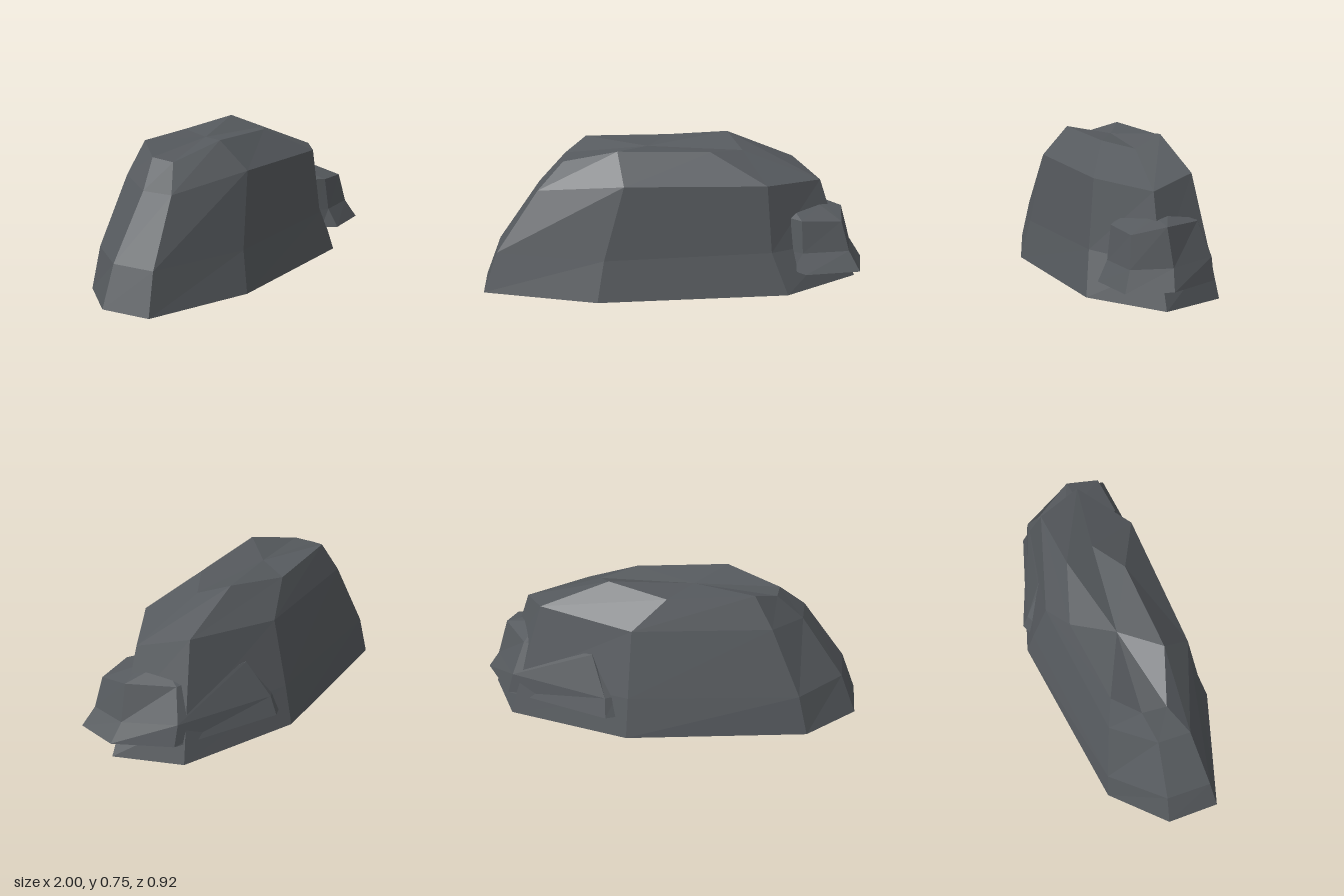
import * as THREE from 'three';

// Joins closed rings of [x, y, z] corners, bottom to top, into a faceted stone.
function stone(name, rings, material) {
  const pos = [];
  const tri = (a, b, c) => pos.push(...a, ...b, ...c);
  const centre = (ring) => [0, 1, 2].map((k) => ring.reduce((s, p) => s + p[k], 0) / ring.length);
  const n = rings[0].length;
  const bottom = rings[0];
  const top = rings[rings.length - 1];
  const low = centre(bottom);
  const high = centre(top);
  for (let i = 0; i < n; i++) {
    const j = (i + 1) % n;
    for (let r = 0; r < rings.length - 1; r++) {
      tri(rings[r][i], rings[r][j], rings[r + 1][j]);
      tri(rings[r][i], rings[r + 1][j], rings[r + 1][i]);
    }
    tri(bottom[j], bottom[i], low);
    tri(top[i], top[j], high);
  }
  const geometry = new THREE.BufferGeometry();
  geometry.setAttribute('position', new THREE.Float32BufferAttribute(pos, 3));
  geometry.computeVertexNormals();
  const mesh = new THREE.Mesh(geometry, material);
  mesh.name = name;
  return mesh;
}

export function createModel() {
  const group = new THREE.Group();
  group.name = 'rockFormation';
  const rock = new THREE.MeshStandardMaterial({ color: 0x565a5e, flatShading: true });
  rock.name = 'dark grey stone';

  // Large boulder: ground, flank, shoulder and crown
  group.add(stone('mainBoulder', [
    [[-0.96, 0, 0.37], [-0.35, 0, 0.46], [0.62, 0, 0.27], [0.97, 0, -0.05],
      [0.77, 0, -0.36], [0.11, 0, -0.46], [-0.79, 0, -0.19], [-1, 0, 0.1]],
    [[-0.89, 0.21, 0.335], [-0.32, 0.21, 0.41], [0.53, 0.22, 0.24], [0.88, 0.2, -0.04],
      [0.72, 0.21, -0.325], [0.11, 0.21, -0.415], [-0.74, 0.21, -0.18], [-0.92, 0.21, 0.1]],
    [[-0.68, 0.53, 0.26], [-0.22, 0.59, 0.35], [0.5, 0.57, 0.21], [0.77, 0.54, -0.03],
      [0.62, 0.6, -0.255], [0.11, 0.555, -0.33], [-0.58, 0.56, -0.14], [-0.7, 0.53, 0.09]],
    [[-0.56, 0.66, 0.16], [-0.27, 0.735, 0.21], [0.2, 0.715, 0.11], [0.36, 0.69, -0.03],
      [0.27, 0.75, -0.18], [-0.05, 0.71, -0.23], [-0.48, 0.725, -0.11], [-0.57, 0.67, 0.03]],
  ], rock));

  // Smaller stone running through the right end and breaking out at the back
  group.add(stone('sideStone', [
    [[0.64, 0.1, 0.17], [0.71, 0.1, 0.23], [0.99, 0.1, 0.155], [1, 0.1, -0.08],
      [0.8, 0.1, -0.325], [0.22, 0.1, -0.457], [0.16, 0.1, -0.42], [0.35, 0.1, -0.1]],
    [[0.63, 0.2, 0.15], [0.69, 0.2, 0.18], [0.93, 0.2, 0.12], [0.935, 0.2, -0.09],
      [0.77, 0.21, -0.32], [0.23, 0.2, -0.425], [0.18, 0.2, -0.39], [0.36, 0.2, -0.1]],
    [[0.62, 0.375, 0.13], [0.68, 0.37, 0.16], [0.885, 0.357, 0.105], [0.885, 0.388, -0.07],
      [0.72, 0.38, -0.26], [0.32, 0.4, -0.34], [0.31, 0.39, -0.33], [0.42, 0.38, -0.08]],
    [[0.62, 0.39, 0.1], [0.65, 0.395, 0.105], [0.77, 0.411, 0], [0.78, 0.416, -0.04],
      [0.68, 0.445, -0.12], [0.42, 0.42, -0.24], [0.4, 0.42, -0.2], [0.48, 0.4, -0.05]],
  ], rock));
  return group;
}
